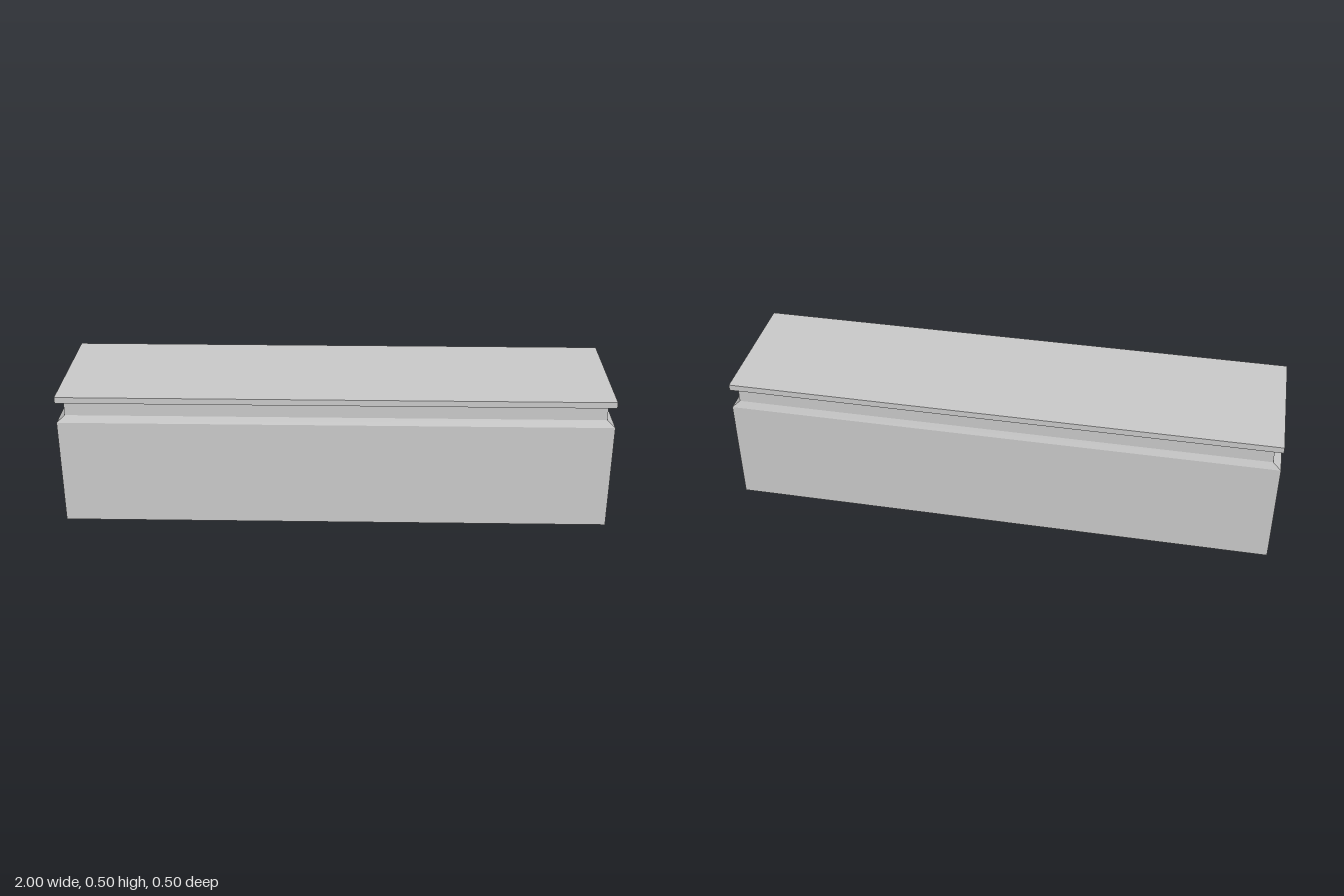
import * as THREE from 'three';

const material = new THREE.MeshStandardMaterial({ color: 0xcccccc, flatShading: true });

// Flat-shaded mesh from a list of four-cornered faces
function quadMesh(name, quads) {
  const pos = [];
  for (const [a, b, c, d] of quads) for (const p of [a, b, c, a, c, d]) pos.push(...p);
  const geo = new THREE.BufferGeometry();
  geo.setAttribute('position', new THREE.Float32BufferAttribute(pos, 3));
  geo.computeVertexNormals();
  const mesh = new THREE.Mesh(geo, material);
  mesh.name = name;
  return mesh;
}

// Flat polygon facing +x, drawn in (u = -z, y)
function endPlate(name, points, x) {
  const shape = new THREE.Shape(points.map(([u, y]) => new THREE.Vector2(u, y)));
  const geo = new THREE.ShapeGeometry(shape).rotateY(Math.PI / 2).translate(x, 0, 0);
  const mesh = new THREE.Mesh(geo, material);
  mesh.name = name;
  return mesh;
}

// Rectangular sections stacked upwards: [half width, half depth, y]
function stackedBox(name, rings, { top, bottom, openRight }) {
  const corners = [[-1, 1], [1, 1], [1, -1], [-1, -1]];
  const loops = rings.map(([hx, hz, y]) => corners.map(([sx, sz]) => [sx * hx, y, sz * hz]));
  const quads = [];
  for (let r = 0; r + 1 < loops.length; r++) {
    for (let i = 0; i < 4; i++) {
      if (openRight && i === 1) continue;
      const j = (i + 1) % 4;
      quads.push([loops[r][i], loops[r][j], loops[r + 1][j], loops[r + 1][i]]);
    }
  }
  if (top) quads.push(loops.at(-1));
  if (bottom) quads.push([...loops[0]].reverse());
  return quadMesh(name, quads);
}

// Crescent outline, counter-clockwise: inner tip, outer tip, bulge and curved inner side
function crescent(tipIn, tipOut, bulge, waist, low, high, midLow, midHigh) {
  return [
    [tipIn, low], [tipOut, low], [bulge, midLow], [bulge, midHigh],
    [tipOut, high], [tipIn, high], [waist, midHigh], [waist, midLow],
  ];
}
const mirror = (pts) => pts.map(([u, y]) => [-u, y]).reverse();

export function createModel() {
  const model = new THREE.Group();

  // Main block, open on the end that carries the pockets
  model.add(stackedBox('body', [[1, 0.25, 0], [1, 0.25, 0.4]], { bottom: true, openRight: true }));

  // Chamfered shoulder and recessed neck
  model.add(stackedBox('neck', [[1, 0.25, 0.4], [0.97, 0.242, 0.427], [0.97, 0.242, 0.474]], {}));

  // Overhanging top slab
  model.add(stackedBox('topSlab', [[0.97, 0.242, 0.474], [1, 0.25, 0.477], [1, 0.25, 0.5]], { top: true }));

  // Pocket sections: rim, end of bevel, back of recess
  const sections = [
    { x: 1, pts: crescent(0.05, 0.15, 0.196, 0.066, 0.1, 0.4, 0.185, 0.315) },
    { x: 0.984, pts: crescent(0.068, 0.142, 0.179, 0.081, 0.116, 0.386, 0.187, 0.314) },
    { x: 0.9, pts: crescent(0.07, 0.14, 0.176, 0.084, 0.119, 0.383, 0.188, 0.312) },
  ];

  // End face, notched from its top edge around both pockets
  const rim = sections[0].pts;
  const rightNotch = [4, 3, 2, 1, 0, 7, 6, 5].map((i) => rim[i]);
  const leftNotch = rightNotch.map(([u, y]) => [-u, y]).reverse();
  model.add(endPlate('endFace',
    [[-0.25, 0], [0.25, 0], [0.25, 0.4], ...rightNotch, ...leftNotch, [-0.25, 0.4]], 1));

  // Two mirrored pockets with bevelled rims
  for (const side of ['right', 'left']) {
    const loops = sections.map(({ x, pts }) =>
      (side === 'left' ? mirror(pts) : pts).map(([u, y]) => [x, y, -u]));
    const quads = [];
    for (let s = 0; s + 1 < loops.length; s++) {
      const front = loops[s], rear = loops[s + 1];
      front.forEach((a, i) => {
        const j = (i + 1) % front.length;
        quads.push([rear[i], a, front[j], rear[j]]);
      });
    }
    const pocket = new THREE.Group();
    pocket.name = side + 'Pocket';
    pocket.add(quadMesh('pocketWalls', quads));
    const back = sections.at(-1);
    pocket.add(endPlate('pocketBack', side === 'left' ? mirror(back.pts) : back.pts, back.x));
    model.add(pocket);
  }

  return model;
}
